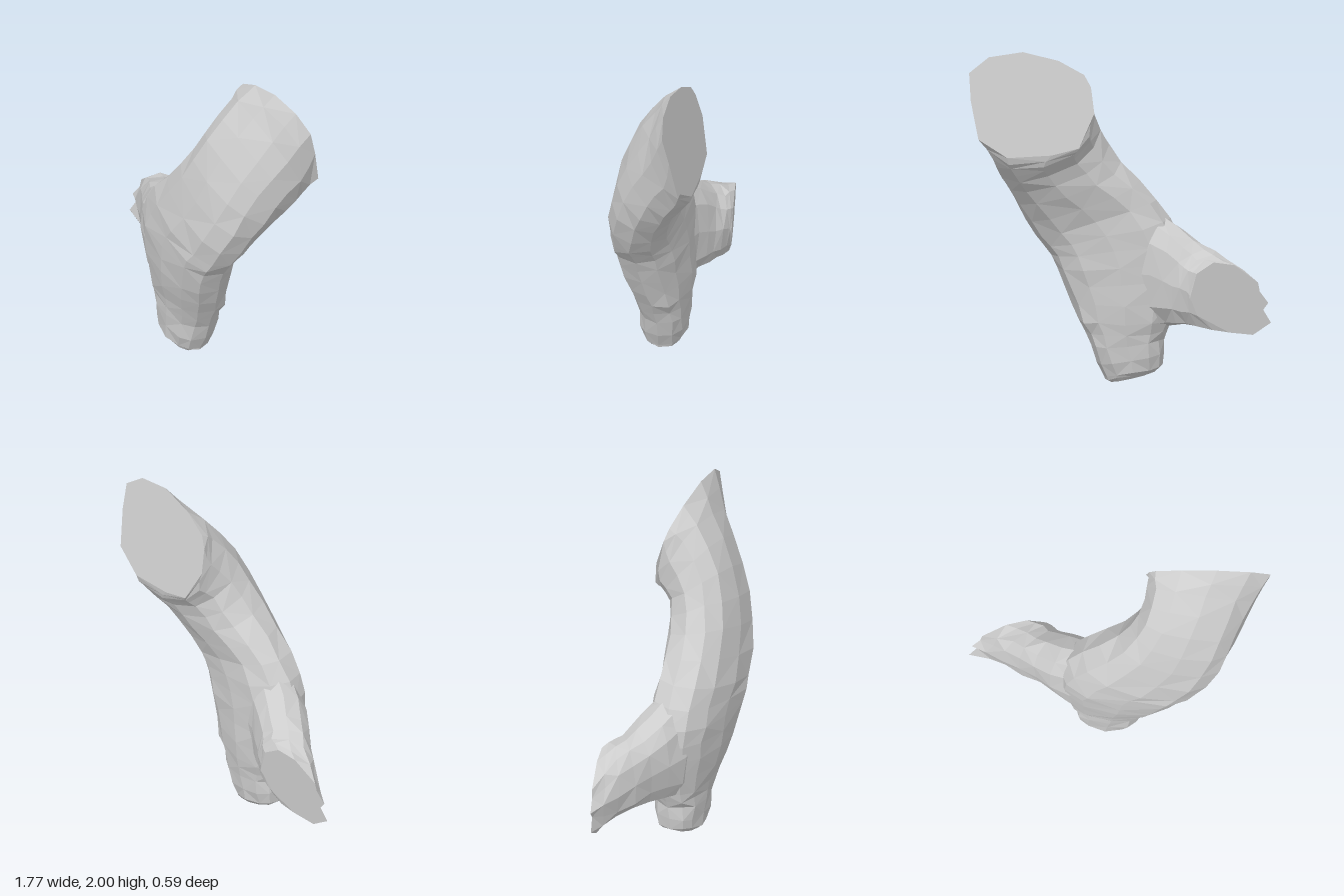
import * as THREE from 'three';

const SIDES = 12;
const V = (a) => new THREE.Vector3(...a);

// Rounded cross-section: centre plus two half-axes
function ring(centre, a, b) {
  const pts = [];
  const soft = (v) => Math.sign(v) * Math.abs(v) ** 0.82;
  for (let i = 0; i < SIDES; i++) {
    const t = (i / SIDES) * Math.PI * 2;
    pts.push(V(centre).addScaledVector(V(a), soft(Math.cos(t))).addScaledVector(V(b), soft(Math.sin(t))));
  }
  return pts;
}

// Skin through the cross-sections, smoothed lengthwise, with slight bark unevenness
function limb(rings, rows, seed) {
  const rand = () => ((seed = (seed * 16807) % 2147483647) / 2147483647 - 0.5) * 0.015;
  const columns = rings[0].map((_, i) =>
    new THREE.CatmullRomCurve3(rings.map((r) => r[i]), false, 'centripetal'));
  const pos = [], index = [];
  for (let j = 0; j <= rows; j++) {
    const rough = j > 0 && j < rows ? 1 : 0;
    for (const c of columns) {
      const p = c.getPoint(j / rows);
      pos.push(p.x + rand() * rough, p.y + rand() * rough, p.z + rand() * rough);
    }
  }
  for (let j = 0; j < rows; j++) for (let i = 0; i < SIDES; i++) {
    const a = j * SIDES + i, b = j * SIDES + (i + 1) % SIDES, c = a + SIDES, d = b + SIDES;
    if ((i + j) % 2) index.push(a, c, b, b, c, d);
    else index.push(a, c, d, a, d, b);
  }
  // Flat cut ends
  [0, rows].forEach((j) => {
    const mid = new THREE.Vector3();
    rings[j ? rings.length - 1 : 0].forEach((p) => mid.addScaledVector(p, 1 / SIDES));
    const m = pos.length / 3;
    pos.push(mid.x, mid.y, mid.z);
    for (let i = 0; i < SIDES; i++) {
      const a = j * SIDES + i, b = j * SIDES + (i + 1) % SIDES;
      if (j) index.push(m, b, a); else index.push(m, a, b);
    }
  });
  const g = new THREE.BufferGeometry();
  g.setAttribute('position', new THREE.Float32BufferAttribute(pos, 3));
  g.setIndex(index);
  const flat = g.toNonIndexed();
  flat.computeVertexNormals();
  return flat;
}

export function createModel() {
  const group = new THREE.Group();
  const wood = new THREE.MeshStandardMaterial({ color: 0xcccccc, flatShading: true });
  wood.name = 'pale grey wood';
  const add = (name, geometry) => {
    const mesh = new THREE.Mesh(geometry, wood);
    mesh.name = name;
    group.add(mesh);
  };

  // Slanted cut at the top of the trunk, facing back
  const topCut = [[0.875, 1.72], [0.885, 1.88], [0.77, 1.97], [0.57, 2], [0.36, 1.95], [0.21, 1.87],
    [0.17, 1.8], [0.15, 1.65], [0.24, 1.45], [0.4, 1.41], [0.66, 1.395], [0.83, 1.5]]
    .map(([x, y]) => V([x, y, -0.14 - (2 - y) * 0.25]));

  add('trunk', limb([
    ring([-0.065, 0.035, 0.05], [0.13, -0.03, 0], [0, 0, 0.1]),
    ring([-0.075, 0.07, 0.05], [0.175, -0.035, 0], [0, 0, 0.13]),
    ring([-0.045, 0.24, 0.045], [0.21, -0.02, 0], [0, 0, 0.145]),
    ring([-0.035, 0.37, 0.05], [0.275, 0, 0.01], [0, 0, 0.16]),
    ring([-0.01, 0.6, 0.075], [0.34, -0.03, 0.025], [0, 0, 0.19]),
    ring([0.03, 0.8, 0.09], [0.38, -0.05, 0.03], [0, 0, 0.2]),
    ring([0.14, 0.97, 0.095], [0.355, -0.115, 0.03], [0, 0, 0.195]),
    ring([0.31, 1.2, 0.05], [0.315, -0.11, 0.02], [0, 0.06, 0.2]),
    ring([0.42, 1.42, -0.035], [0.3, -0.1, 0], [0, 0.15, 0.175]),
    ring([0.48, 1.59, -0.15], [0.32, -0.08, 0], [0.03, 0.255, 0.12]),
    topCut,
  ], 20, 11));

  // Splintered end of the side branch
  const brokenEnd = [[-0.67, 0.745], [-0.81, 0.635], [-0.82, 0.58], [-0.87, 0.51], [-0.84, 0.47], [-0.885, 0.39],
    [-0.78, 0.32], [-0.64, 0.34], [-0.5, 0.42], [-0.41, 0.55], [-0.45, 0.7], [-0.55, 0.765]]
    .map(([x, y]) => V([x, y, -0.34 - 0.2 * x - 0.06 * (y - 0.55)]));

  add('sideBranch', limb([
    ring([0.05, 0.66, 0.08], [-0.05, 0.26, 0], [0, 0, 0.13]),
    ring([-0.23, 0.665, 0.025], [0, 0.335, 0], [-0.06, 0, 0.15]),
    ring([-0.4, 0.61, -0.07], [-0.03, 0.25, 0], [-0.09, 0, 0.125]),
    ring([-0.54, 0.57, -0.155], [0, 0.225, 0], [-0.15, -0.02, 0.085]),
    brokenEnd,
  ], 8, 29));

  return group;
}
